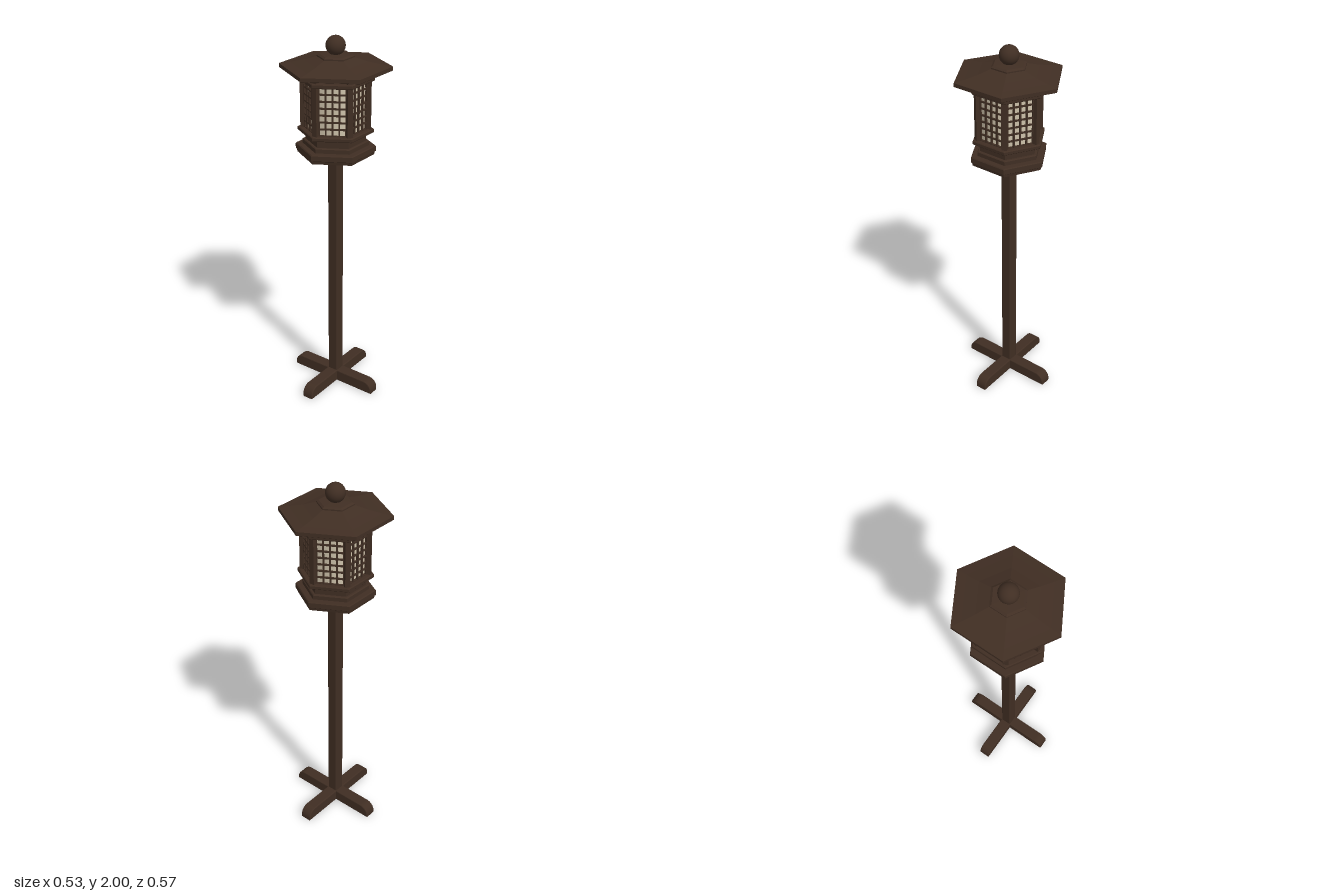
import * as THREE from 'three';
import { RoundedBoxGeometry } from 'three/addons/geometries/RoundedBoxGeometry.js';

const wood = new THREE.MeshStandardMaterial({ color: 0x402e23 });
wood.name = 'dark brown wood';
const paper = new THREE.MeshStandardMaterial({ color: 0xd2c6ae });
paper.name = 'cream paper';

function add(parent, name, geometry, material, x = 0, y = 0, z = 0) {
  const mesh = new THREE.Mesh(geometry, material);
  mesh.name = name;
  mesh.position.set(x, y, z);
  parent.add(mesh);
  return mesh;
}

// Six-sided solid with corners on the z axis; profile is [distance to flat side, y], bottom to top
function hexSolid(profile) {
  const points = profile.map(([a, y]) => new THREE.Vector2(a / Math.cos(Math.PI / 6), y));
  const geometry = new THREE.LatheGeometry(points, 6).toNonIndexed();
  geometry.computeVertexNormals();
  return geometry;
}

// Hexagonal plate with small chamfers
function hexPlate(a, y0, y1, c = 0.004) {
  return hexSolid([[0, y0], [a - c, y0], [a, y0 + c], [a, y1 - c], [a - c, y1], [0, y1]]);
}

// Foot beam with rounded upper ends
function footBeam() {
  const b = 0.005, l = 0.265 - b, h = 0.066 - b, r = 0.045;
  const s = new THREE.Shape();
  s.moveTo(-l, b);
  s.lineTo(l, b);
  s.lineTo(l, h - r);
  s.absarc(l - r, h - r, r, 0, Math.PI / 2, false);
  s.lineTo(-l + r, h);
  s.absarc(-l + r, h - r, r, Math.PI / 2, Math.PI, false);
  s.closePath();
  const w = 0.064 - 2 * b;
  const geometry = new THREE.ExtrudeGeometry(s, {
    depth: w, bevelEnabled: true, bevelSize: b, bevelThickness: b, bevelSegments: 2, curveSegments: 10,
  });
  return geometry.translate(0, 0, -w / 2);
}

export function createModel() {
  const model = new THREE.Group();
  model.name = 'standing lantern';

  // Crossed feet and post
  const foot = footBeam();
  add(model, 'footAcross', foot, wood);
  add(model, 'footAlong', foot, wood).rotation.y = Math.PI / 2;
  add(model, 'post', new RoundedBoxGeometry(0.06, 1.36, 0.06, 3, 0.007), wood, 0, 0.71, 0);

  // Stepped base of the lantern
  add(model, 'basePlate', hexSolid([[0, 1.385], [0.172, 1.385], [0.175, 1.4], [0.18, 1.404],
    [0.18, 1.43], [0.176, 1.435], [0, 1.435]]), wood);
  add(model, 'baseStep', hexPlate(0.149, 1.43, 1.46), wood);
  add(model, 'baseNeck', hexPlate(0.136, 1.455, 1.51), wood);
  add(model, 'lowerRing', hexPlate(0.17, 1.503, 1.525), wood);

  // Paper shade
  add(model, 'paperShade', new THREE.CylinderGeometry(0.147, 0.147, 0.26, 6, 1, true), paper, 0, 1.65, 0);

  // Corner posts and lattice panels
  const bottom = 1.525, top = 1.775, width = 0.136, cols = 4, rows = 7;
  const mid = (bottom + top) / 2, height = top - bottom;
  const cornerPost = new THREE.BoxGeometry(0.028, 0.325, 0.028);
  const upright = new THREE.BoxGeometry(0.008, height, 0.01);
  const crossbar = new THREE.BoxGeometry(width, 0.008, 0.008);
  for (let i = 0; i < 6; i++) {
    const side = new THREE.Group();
    side.name = 'cornerPost' + (i + 1);
    side.rotation.y = i * Math.PI / 3;
    add(side, 'postBar', cornerPost, wood, 0, 1.683, 0.166);
    model.add(side);

    const panel = new THREE.Group();
    panel.name = 'latticePanel' + (i + 1);
    panel.rotation.y = (i + 0.5) * Math.PI / 3;
    for (let c = 0; c <= cols; c++) {
      add(panel, 'latticeUpright', upright, wood, (c / cols - 0.5) * width, mid, 0.141);
    }
    for (let r = 0; r <= rows; r++) {
      add(panel, 'latticeCrossbar', crossbar, wood, 0, bottom + height * r / rows, 0.141);
    }
    model.add(panel);
  }

  // Upper ring and recessed collar under the roof
  add(model, 'upperRing', hexPlate(0.17, 1.775, 1.798), wood);
  add(model, 'collar', hexPlate(0.142, 1.79, 1.855), wood);

  // Gently concave roof, cap and ball finial
  add(model, 'roof', hexSolid([[0, 1.848], [0.15, 1.845], [0.245, 1.83], [0.247, 1.832], [0.247, 1.851],
    [0.2, 1.859], [0.14, 1.873], [0.08, 1.893], [0, 1.893]]), wood);
  add(model, 'roofCap', hexSolid([[0, 1.885], [0.082, 1.885], [0.082, 1.899], [0.072, 1.906],
    [0, 1.91]]), wood);
  add(model, 'finial', new THREE.SphereGeometry(0.05, 32, 20), wood, 0, 1.95, 0);

  return model;
}
